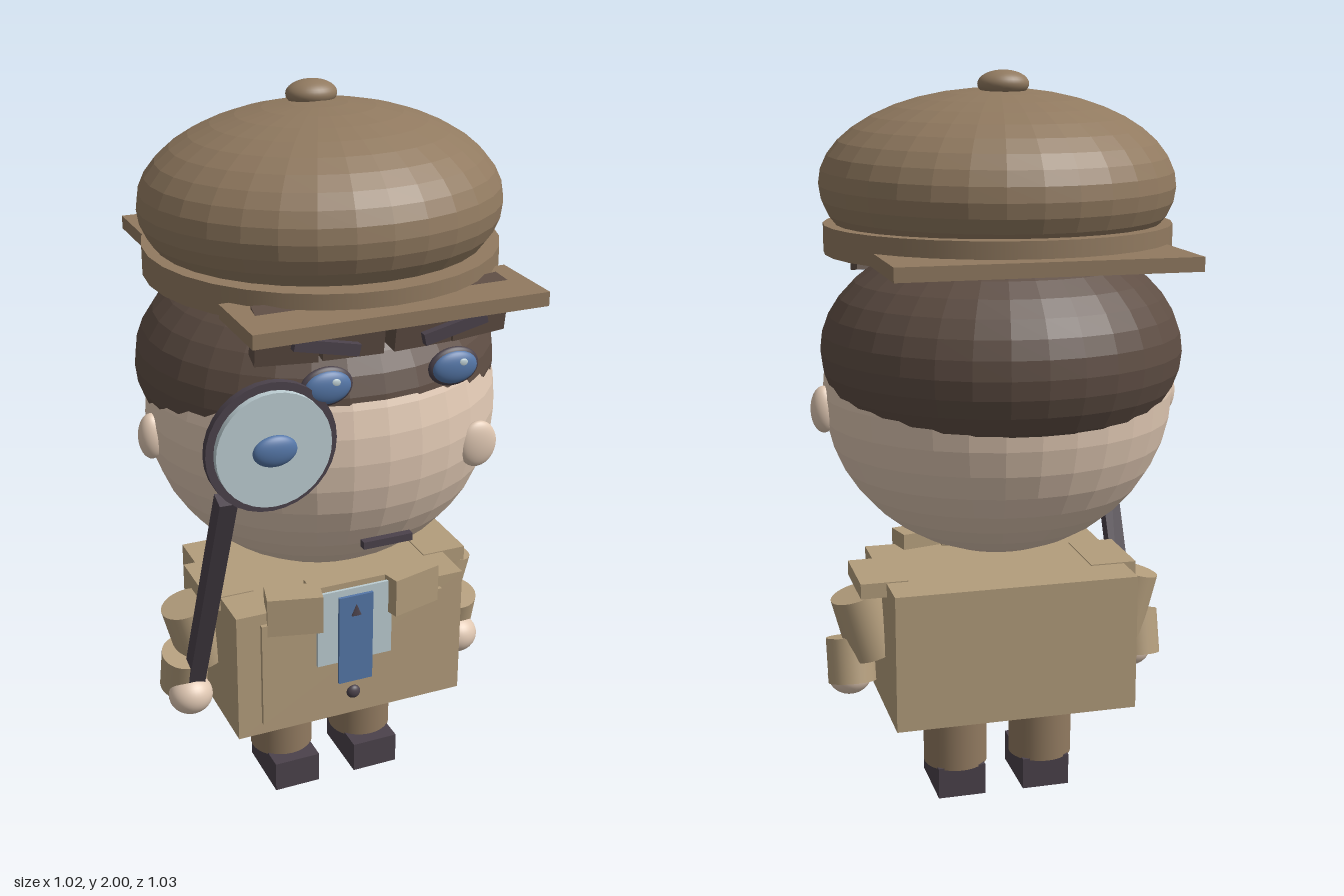
import * as THREE from 'three';

const paint = (name, color) => {
  const m = new THREE.MeshStandardMaterial({ color });
  m.name = name;
  return m;
};

export function createModel() {
  const model = new THREE.Group();
  model.name = 'detectiveFigure';

  const hatBrown = paint('hat brown', 0x917a60);
  const coatTan = paint('coat tan', 0xb39d7c);
  const hairBrown = paint('hair brown', 0x5f4e44);
  const skin = paint('skin', 0xe0c8b3);
  const dark = paint('dark plum', 0x4b424b);
  const blue = paint('blue', 0x5577a8);
  const pale = paint('pale blue', 0xbccdd2);

  const add = (name, geo, mat, pos, rot = [0, 0, 0]) => {
    const mesh = new THREE.Mesh(geo, mat);
    mesh.name = name;
    mesh.position.set(...pos);
    mesh.rotation.set(...rot);
    model.add(mesh);
    return mesh;
  };
  const box = (name, size, mat, pos, rot) => add(name, new THREE.BoxGeometry(...size), mat, pos, rot);
  const cyl = (name, r, h, mat, pos, rot) => add(name, new THREE.CylinderGeometry(r, r, h, 32), mat, pos, rot);
  const ball = (name, radii, mat, pos, rot, faceted = false) => {
    let geo = new THREE.SphereGeometry(1, 32, 20).scale(...radii);
    if (faceted) {
      geo = geo.toNonIndexed();
      geo.computeVertexNormals();
    }
    return add(name, geo, mat, pos, rot);
  };

  // Head and hair
  ball('head', [0.473, 0.445, 0.445], skin, [0, 1.16, 0], undefined, true);
  ball('hair', [0.482, 0.314, 0.46], hairBrown, [0, 1.28, -0.04], undefined, true);

  // Cap: dome, band, two peaks and top button
  ball('capDome', [0.47, 0.245, 0.447], hatBrown, [0, 1.71, 0], [-0.03, 0, 0], true);
  cyl('capBand', 0.46, 0.075, hatBrown, [0, 1.573, 0]);
  box('frontPeak', [0.76, 0.036, 0.225], hatBrown, [0, 1.553, 0.402]);
  box('backPeak', [0.76, 0.036, 0.3], hatBrown, [0, 1.549, -0.365]);
  ball('capButton', [0.067, 0.035, 0.055], hatBrown, [0, 1.965, -0.057]);

  // Mirrored parts
  for (const s of [1, -1]) {
    // Fringe and eyebrows
    box('innerFringe', [0.155, 0.12, 0.06], hairBrown, [s * 0.09, 1.505, 0.4], [0.15, s * 0.05, 0]);
    box('outerFringe', [0.155, 0.13, 0.06], hairBrown, [s * 0.25, 1.508, 0.38], [0.15, s * 0.14, 0]);
    box('eyebrow', [0.17, 0.03, 0.02], dark, [s * 0.168, 1.485, 0.437], [0, 0, s * 0.22]);

    // Eyes
    ball('eyeRim', [0.068, 0.05, 0.018], dark, [s * 0.168, 1.385, 0.437]);
    ball('eye', [0.06, 0.042, 0.02], blue, [s * 0.168, 1.385, 0.444]);
    ball('eyeGlint', [0.012, 0.01, 0.004], pale, [s * 0.168 + 0.015, 1.4, 0.46]);

    // Cheeks and ears
    ball('cheek', [0.053, 0.063, 0.022], skin, [s * 0.282, 1.128, 0.37]);
    ball('ear', [0.035, 0.063, 0.034], skin, [s * 0.475, 1.128, 0]);

    // Collar and shoulder tabs
    box('lapel', [0.15, 0.11, 0.08], coatTan, [s * 0.17, 0.655, 0.22], [0, s * 0.25, 0]);
    box('shoulderTab', [0.13, 0.042, 0.21], coatTan, [s * (s > 0 ? 0.34 : 0.305), 0.647, -0.002]);

    // Arms and hands
    cyl('upperArm', 0.07, 0.18, coatTan, [s * 0.38, 0.52, 0], [0, 0, -s * 0.26]);
    cyl('forearm', 0.066, 0.125, coatTan, [s * 0.417, 0.412, 0.013], [0.26, 0, 0]);
    ball('hand', [0.062, 0.056, 0.058], skin, [s * 0.415, 0.35, 0.055]);

    // Legs and shoes
    cyl('leg', 0.09, 0.2, hatBrown, [s * 0.125, 0.185, 0]);
    box('shoe', [0.135, 0.09, 0.2], dark, [s * 0.123, 0.045, 0.025]);
  }

  // Mouth
  box('mouth', [0.135, 0.02, 0.02], dark, [0, 0.938, 0.433]);

  // Coat body with front panel, shirt, tie and button
  box('coat', [0.67, 0.38, 0.45], coatTan, [0, 0.475, 0]);
  box('coatPanel', [0.535, 0.31, 0.02], coatTan, [0, 0.477, 0.227]);
  box('collarBack', [0.24, 0.06, 0.06], coatTan, [0, 0.68, 0.2]);
  box('shirt', [0.22, 0.225, 0.008], pale, [0, 0.585, 0.241]);
  box('tie', [0.1, 0.27, 0.009], blue, [0, 0.543, 0.249]);
  add('tiePin', new THREE.ConeGeometry(0.015, 0.035, 12).scale(1, 1, 0.25), dark, [0, 0.635, 0.254]);
  ball('coatButton', [0.02, 0.02, 0.014], dark, [0, 0.363, 0.238]);

  // Magnifying glass
  cyl('magnifierFrame', 0.166, 0.02, dark, [-0.315, 1.26, 0.447], [Math.PI / 2, 0, 0]);
  cyl('magnifierLens', 0.146, 0.018, pale, [-0.315, 1.26, 0.466], [Math.PI / 2, 0, 0]);
  ball('magnifiedEye', [0.056, 0.04, 0.02], blue, [-0.315, 1.26, 0.476]);
  const top = new THREE.Vector3(-0.382, 1.07, 0.31);
  const bottom = new THREE.Vector3(-0.402, 0.39, 0.05);
  const axis = top.clone().sub(bottom);
  const handle = box('magnifierHandle', [0.048, axis.length(), 0.045], dark,
    top.clone().add(bottom).multiplyScalar(0.5).toArray());
  handle.quaternion.setFromUnitVectors(new THREE.Vector3(0, 1, 0), axis.normalize());

  return model;
}
